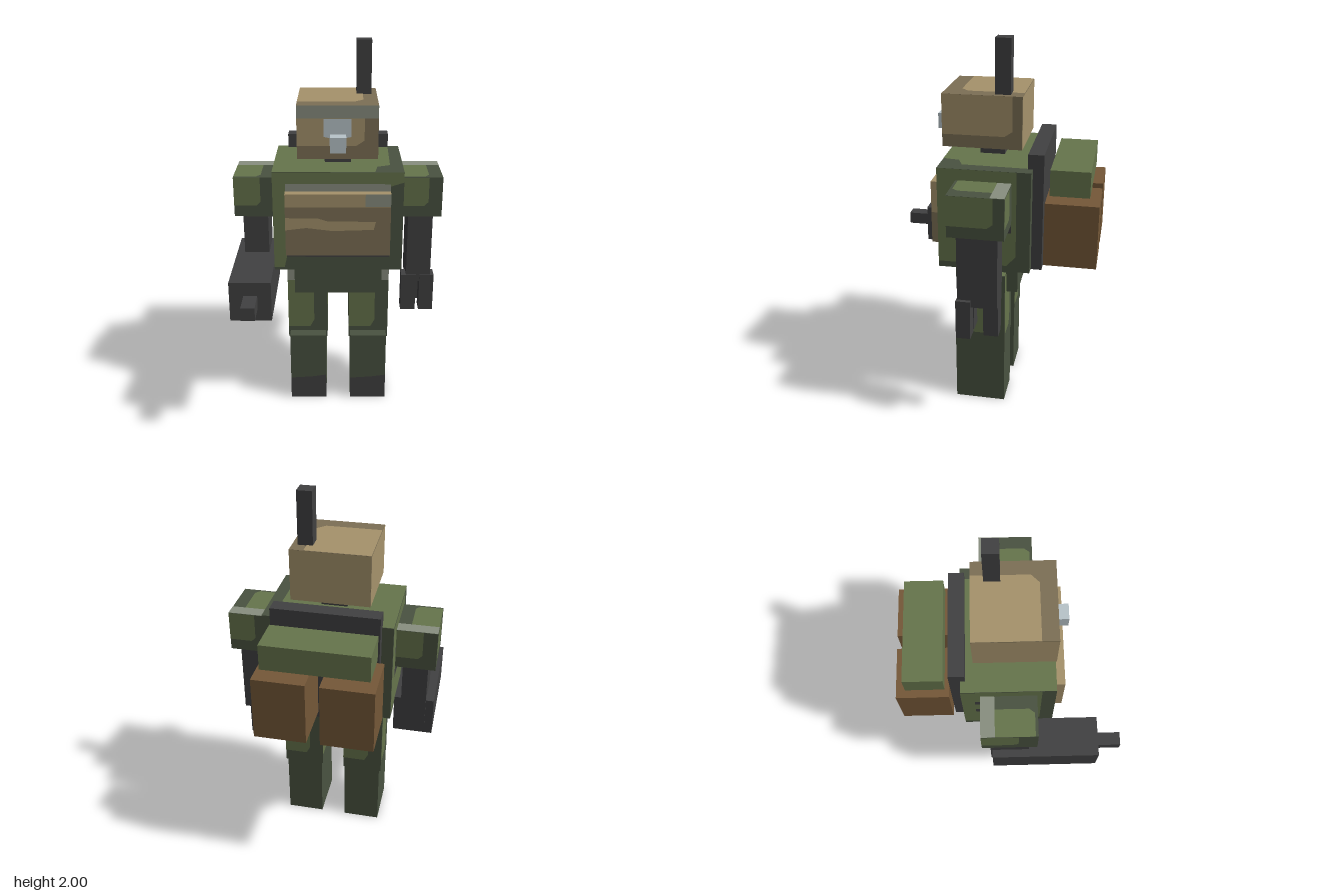
import * as THREE from 'three';

const mat = (name, color) => Object.assign(new THREE.MeshStandardMaterial({ color }), { name });
const M = {
  green: mat('lightGreen', 0x66754c),
  darkGreen: mat('darkGreen', 0x4a5341),
  gunmetal: mat('gunmetal', 0x414142),
  tan: mat('tan', 0xa6936c),
  darkTan: mat('darkTan', 0x7d7056),
  grey: mat('greyGreen', 0x898f80),
  brown: mat('leatherBrown', 0x755838),
  pale: mat('paleBlue', 0xb9c5ca),
};

// Turns that bring a front-facing plate onto each face of a box
const TURN = {
  front: [0, 0], back: [0, Math.PI], left: [0, Math.PI / 2], right: [0, -Math.PI / 2],
  top: [-Math.PI / 2, 0], bottom: [Math.PI / 2, 0],
};

// Box given by its extents on each axis
function box(parent, name, material, [x0, x1], [y0, y1], [z0, z1]) {
  const part = new THREE.Group();
  part.name = name;
  part.position.set((x0 + x1) / 2, (y0 + y1) / 2, (z0 + z1) / 2);
  part.userData.size = [x1 - x0, y1 - y0, z1 - z0];
  const mesh = new THREE.Mesh(new THREE.BoxGeometry(...part.userData.size), material);
  mesh.name = name + 'Body';
  part.add(mesh);
  parent.add(part);
  return part;
}

// Painted patch; points are fractions of the face, from its lower left corner
function paint(part, face, material, points, layer = 1) {
  const [w, h, d] = part.userData.size;
  const side = face === 'left' || face === 'right';
  const flat = face === 'top' || face === 'bottom';
  const [fw, fh, depth] = side ? [d, h, w] : flat ? [w, d, h] : [w, h, d];
  const shape = new THREE.Shape(points.map(([u, v]) => new THREE.Vector2((u - 0.5) * fw, (v - 0.5) * fh)));
  const geo = new THREE.ShapeGeometry(shape);
  geo.translate(0, 0, depth / 2 + 0.002 * layer);
  const [rx, ry] = TURN[face];
  geo.rotateX(rx).rotateY(ry);
  const mesh = new THREE.Mesh(geo, material);
  mesh.name = face + 'Paint';
  part.add(mesh);
}

const rect = (u0, u1, v0, v1) => [[u0, v0], [u1, v0], [u1, v1], [u0, v1]];
// Patch from the upper left of a face, with its lower right corner worn off
const worn = (u, v, top = 1) => [[0, v], [u - 0.1, v], [u, v + 0.1], [u, top], [0, top]];

export function createModel() {
  const g = new THREE.Group();
  g.name = 'robotSoldier';

  // Head, nose, antenna and neck
  const head = box(g, 'head', M.darkTan, [-0.205, 0.2], [1.455, 1.725], [-0.188, 0.218]);
  paint(head, 'front', M.tan, worn(0.83, 0.25, 0.76));
  paint(head, 'front', M.grey, rect(0, 1, 0.76, 1));
  paint(head, 'front', M.pale, [[0.4, 0.25], [0.6, 0.25], [0.6, 0.4], [0.67, 0.42], [0.67, 0.76], [0.33, 0.76], [0.33, 0.42], [0.4, 0.4]], 2);
  paint(head, 'top', M.tan, worn(0.82, 0.2));
  paint(head, 'left', M.tan, worn(0.88, 0.24));
  paint(head, 'right', M.tan, rect(0, 1, 0, 1));
  paint(head, 'back', M.tan, rect(0, 1, 0, 1));
  box(g, 'nose', M.pale, [-0.04, 0.04], [1.5, 1.58], [0.218, 0.278]);
  box(g, 'antenna', M.gunmetal, [0.095, 0.172], [1.725, 2], [-0.125, -0.046]);
  box(g, 'neck', M.gunmetal, [-0.07, 0.067], [1.385, 1.455], [-0.08, 0.05]);

  // Torso
  const torso = box(g, 'torso', M.darkGreen, [-0.335, 0.335], [0.845, 1.385], [-0.255, 0.218]);
  paint(torso, 'front', M.green, [[0, 0.03], [0.08, 0.03], [0.1, 0.14], [0.9, 0.14], [0.9, 0.86], [1, 0.9], [1, 1], [0, 1]]);
  paint(torso, 'front', M.grey, rect(0.1, 0.9, 0.81, 0.885), 2);
  paint(torso, 'front', M.gunmetal, rect(0.1, 0.9, 0.14, 0.2), 2);
  paint(torso, 'top', M.green, [[0, 0], [0.78, 0], [0.8, 0.18], [0.9, 0.24], [0.91, 1], [0, 1]]);
  for (const side of ['left', 'right']) {
    paint(torso, side, M.green, worn(0.85, 0.06));
    paint(torso, side, M.gunmetal, rect(0.14, 0.8, 0.4, 0.49), 2);
    paint(torso, side, M.gunmetal, rect(0.14, 0.8, 0.65, 0.73), 2);
  }

  // Chest plate with striped paint
  const chest = box(g, 'chestPlate', M.tan, [-0.27, 0.268], [0.95, 1.285], [0.218, 0.268]);
  paint(chest, 'front', M.darkTan, rect(0, 1, 0, 0.79));
  paint(chest, 'front', M.tan, [[0, 0.42], [0.2, 0.46], [0.45, 0.41], [0.84, 0.43], [0.86, 0.56], [0.4, 0.57], [0.3, 0.62], [0, 0.62]], 2);
  paint(chest, 'front', M.grey, rect(0.76, 1, 0.8, 1));
  paint(chest, 'left', M.darkTan, rect(0, 1, 0, 0.5));

  // Pelvis
  box(g, 'pelvis', M.darkGreen, [-0.235, 0.235], [0.675, 0.845], [-0.18, 0.152]);

  // Legs and shoulders
  for (const s of [-1, 1]) {
    const span = (a, b) => (s > 0 ? [a, b] : [-b, -a]);
    const side = s > 0 ? 'left' : 'right';

    const thigh = box(g, side + 'Thigh', M.darkGreen, span(0.06, 0.278), [0.365, 0.785], [-0.12, 0.09]);
    for (const f of ['front', 'back', 'left', 'right']) paint(thigh, f, M.green, worn(0.66, 0.16, f === 'front' ? 0.85 : 1));
    paint(thigh, 'front', M.grey, rect(0, 1, 0.85, 1));
    paint(thigh, 'top', M.green, rect(0, 1, 0, 1));

    const boot = box(g, side + 'Boot', M.darkGreen, span(0.068, 0.268), [0, 0.405], [-0.118, 0.152]);
    paint(boot, 'front', M.gunmetal, [[0, 0], [1, 0], [1, 0.37], [0.6, 0.34], [0, 0.32]]);

    const shoulder = box(g, side + 'Shoulder', M.darkGreen, span(0.335, 0.545), [1.11, 1.325], [-0.16, 0.123]);
    for (const f of ['front', 'back', 'left', 'right']) paint(shoulder, f, M.green, worn(f === 'left' ? 0.8 : 0.66, 0.28));
    paint(shoulder, 'top', M.green, worn(0.67, 0.05, 0.75));
    paint(shoulder, 'top', M.grey, rect(0, 1, 0.75, 1));

    box(g, side + 'Arm', M.gunmetal, span(0.373, 0.505), [0.713, 1.11], [-0.12, 0.085]);
  }

  // Gun forearm on the right
  box(g, 'gunBody', M.gunmetal, [-0.547, -0.335], [0.675, 0.885], [-0.11, 0.462]);
  box(g, 'gunBarrel', M.gunmetal, [-0.475, -0.405], [0.745, 0.813], [0.462, 0.592]);

  // Three-fingered left hand
  const front = [0.015, 0.09];
  const back = [-0.12, -0.043];
  for (const [x, z] of [[[0.347, 0.428], front], [[0.447, 0.525], front], [[0.396, 0.476], back]]) {
    box(g, 'finger', M.gunmetal, x, [0.54, 0.752], z);
  }

  // Backpack: frame, bedroll and two pouches
  box(g, 'packFrame', M.gunmetal, [-0.277, 0.275], [0.84, 1.46], [-0.31, -0.23]);
  box(g, 'bedroll', M.green, [-0.272, 0.27], [1.25, 1.385], [-0.54, -0.34]);
  for (const x of [[-0.303, -0.036], [0.034, 0.301]]) {
    box(g, 'pouch', M.brown, x, [0.882, 1.22], [-0.59, -0.32]);
  }

  return g;
}
